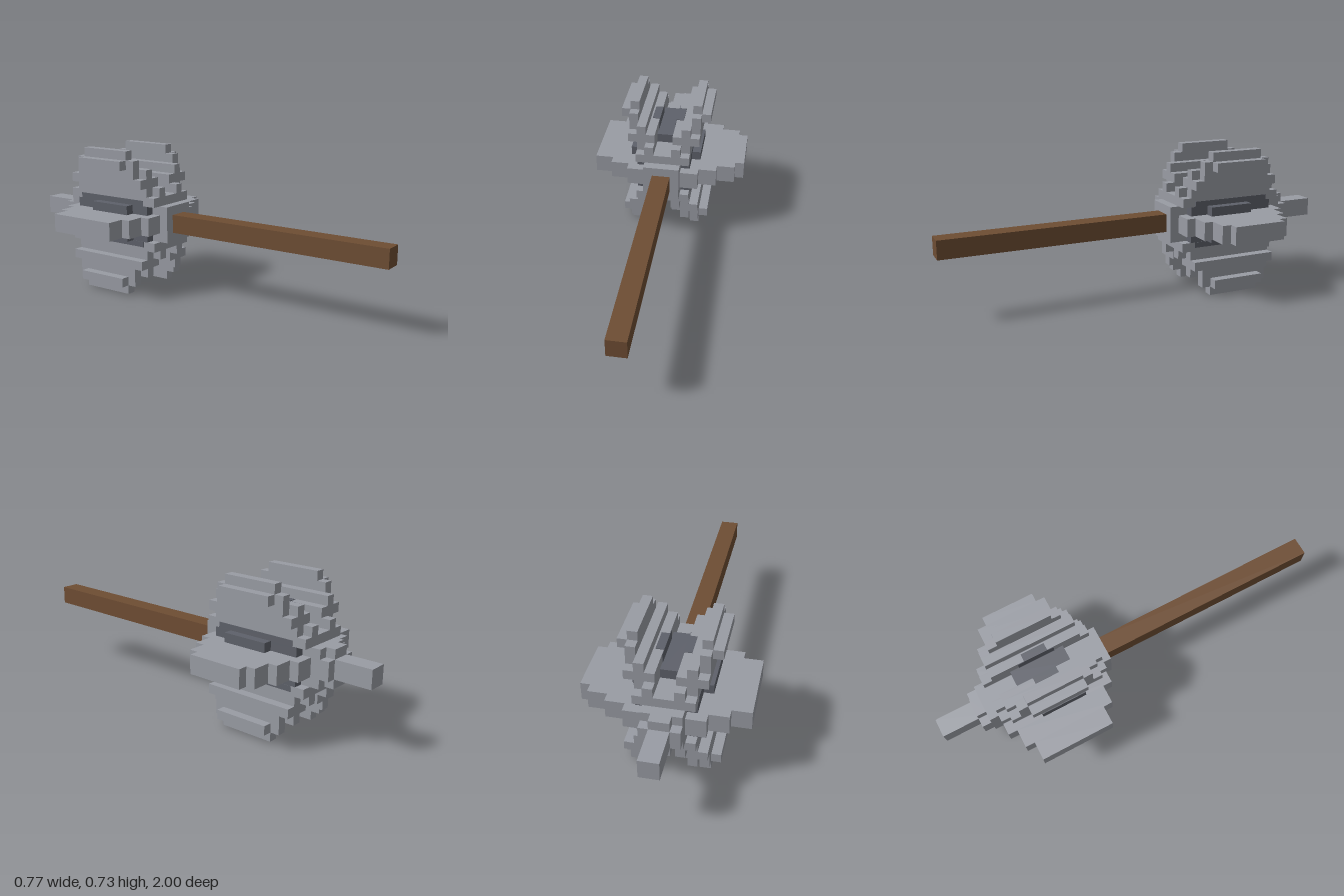
import * as THREE from 'three';

const U = 1 / 22; // edge of one block

export function createModel() {
  const model = new THREE.Group();
  model.name = 'mace';
  const steel = new THREE.MeshStandardMaterial({ color: 0x999ca4 });
  steel.name = 'steel';
  const darkSteel = new THREE.MeshStandardMaterial({ color: 0x5e616a });
  darkSteel.name = 'dark steel';
  const wood = new THREE.MeshStandardMaterial({ color: 0x6e4d33 });
  wood.name = 'wood';

  // Box in block units: x and y from the shaft axis, n counted back from the handle end
  function block(parent, name, material, x0, x1, y0, y1, n0, n1) {
    const mesh = new THREE.Mesh(
      new THREE.BoxGeometry((x1 - x0) * U, (y1 - y0) * U, (n1 - n0) * U), material);
    mesh.position.set(((x0 + x1) / 2 - 0.5) * U, ((y0 + y1) / 2 + 8) * U, 1 - ((n0 + n1) / 2) * U);
    mesh.name = name;
    parent.add(mesh);
  }
  function group(name) {
    const g = new THREE.Group();
    g.name = name;
    model.add(g);
    return g;
  }

  block(model, 'handle', wood, -1, 1, -1, 1, 0, 25.2);
  block(model, 'spike', steel, -1, 1, -1, 1, 39, 44);

  // Stepped core of the head
  const core = group('headCore');
  block(core, 'collar', steel, -2, 2, -2, 2, 25, 39);
  block(core, 'rearCollarWide', steel, -2, 2, -1, 1, 39, 40);
  block(core, 'rearCollarTall', steel, -1, 1, -2, 2, 39, 40);

  // Flat side flanges, one block longer on the left
  const flanges = group('sideFlanges');
  for (const [x0, x1, n0, n1] of [
    [2, 4, 26, 38], [4, 6, 27, 37], [6, 8, 28, 36], [8, 9, 29, 35],
    [-4, -2, 26, 38], [-6, -4, 27, 37], [-8, -6, 28, 36],
  ]) block(flanges, 'flangeStep', steel, x0, x1, -1, 1, n0, n1);

  // Four diagonal flanges, mirrored in both directions: x0, x1, y0, y1, n0, n1
  const armSteps = [
    [1, 2, 3, 4, 26, 38], [2, 3, 3, 4, 27, 37],
    [1, 2, 4, 5, 27, 37], [2, 3, 4, 6, 27, 37],
    [3, 4, 4, 5, 27, 37], [3, 4, 5, 7, 28, 36],
    [4, 5, 6, 7, 29, 35], [3, 4, 7, 8, 29, 35],
  ];
  const e = 0.06; // how far the dark patches stand proud
  const darkSteps = [
    [2, 3, 1, 2, 27, 37], [3, 4, 1, 2, 29, 34],   // beside the side flanges
    [3, 3 + e, 2, 2.6, 27.5, 36.5],               // stain on the outer wall
    [1 - e, 1, 4, 5, 30, 34], [1 - e, 1.8, 5, 5 + e, 30.7, 33.3], // stain on the inner wall
  ];
  const arms = group('diagonalFlanges');
  const dark = group('darkInlays');
  for (const sy of [1, -1]) {
    const ys = (a, b) => (sy > 0 ? [a, b] : [-b, -a]);
    block(core, 'body', steel, -3, 3, ...ys(2, 3), 26, 38);
    block(dark, 'valleyInlay', darkSteel, -1, 1, ...ys(3, 4), 29, 35);
    for (const sx of [1, -1]) {
      const xs = (a, b) => (sx > 0 ? [a, b] : [-b, -a]);
      for (const [x0, x1, y0, y1, n0, n1] of armSteps)
        block(arms, 'flangeStep', steel, ...xs(x0, x1), ...ys(y0, y1), n0, n1);
      for (const [x0, x1, y0, y1, n0, n1] of darkSteps)
        block(dark, 'inlay', darkSteel, ...xs(x0, x1), ...ys(y0, y1), n0, n1);
    }
  }
  return model;
}
